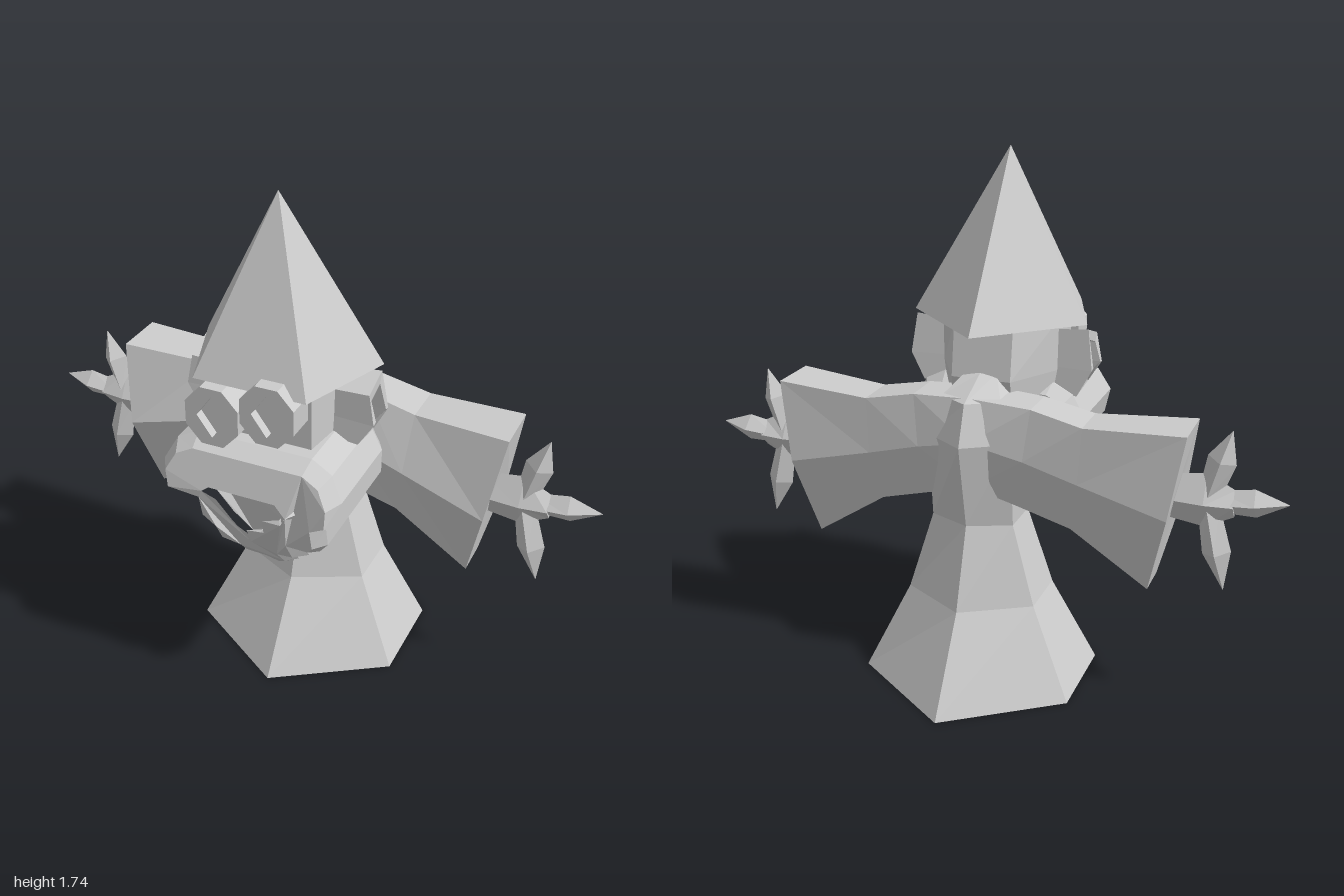
import * as THREE from 'three';

const grey = new THREE.MeshStandardMaterial({ color: 0xcccccc, flatShading: true });
grey.name = 'plain grey';

function add(parent, name, geometry) {
  const mesh = new THREE.Mesh(geometry, grey);
  mesh.name = name;
  parent.add(mesh);
  return mesh;
}

// Skin a list of rings (each a list of [x, y, z]) and close both ends, facing outwards
function loft(rings) {
  const tris = [];
  const n = rings[0].length;
  for (let r = 0; r < rings.length - 1; r++) {
    for (let i = 0; i < n; i++) {
      const j = (i + 1) % n;
      const [a, b, c, d] = [rings[r][i], rings[r][j], rings[r + 1][j], rings[r + 1][i]];
      tris.push([a, b, c], [a, c, d]);
    }
  }
  const last = rings[rings.length - 1];
  for (let i = 1; i < n - 1; i++) {
    tris.push([rings[0][0], rings[0][i + 1], rings[0][i]], [last[0], last[i], last[i + 1]]);
  }
  let volume = 0;
  for (const [a, b, c] of tris) {
    volume += new THREE.Vector3(...a).dot(new THREE.Vector3(...b).cross(new THREE.Vector3(...c)));
  }
  if (volume < 0) tris.forEach((t) => t.reverse());
  const geometry = new THREE.BufferGeometry();
  geometry.setAttribute('position', new THREE.Float32BufferAttribute(tris.flat(2), 3));
  geometry.computeVertexNormals();
  return geometry;
}

const toPoints = (list) => list.map(([x, y]) => new THREE.Vector2(x, y));

// Six-sided robe ring with a ridge at front and back
function robeRing(y, w, front, sideFront, sideBack, back) {
  return [[0, front], [w, sideFront], [w, sideBack], [0, back], [-w, sideBack], [-w, sideFront]]
    .map(([x, z]) => [x + 0.01, y, z]);
}

// Sleeve ring: top, middle and bottom, each with a front and a back corner
function sleeveRing(side, shift, xs, ys, fronts, backs) {
  const corner = (i, z) => [side * xs[i], ys[i], z[i] + shift * xs[i]];
  return [corner(0, fronts), corner(1, fronts), corner(2, fronts),
    corner(2, backs), corner(1, backs), corner(0, backs)];
}

// Pointed finger with a diamond section
function finger(from, to, z) {
  const [dx, dy] = [to[0] - from[0], to[1] - from[1]];
  const len = Math.hypot(dx, dy);
  const [px, py] = [-dy / len, dx / len];
  const ring = (t, w, d) => {
    const [x, y] = [from[0] + dx * t, from[1] + dy * t];
    return [[x + px * w, y + py * w, z], [x, y, z + d],
      [x - px * w, y - py * w, z], [x, y, z - d]];
  };
  return loft([ring(0, 0.035, 0.035), ring(0.55, 0.046, 0.04), ring(1, 0.001, 0.001)]);
}

function buildArm(side, shift) {
  const arm = new THREE.Group();
  arm.name = side > 0 ? 'leftArm' : 'rightArm';
  add(arm, 'sleeve', loft([
    sleeveRing(side, shift, [0, 0, 0], [1.0, 0.86, 0.7], [-0.04, 0.02, 0], [-0.19, -0.22, -0.19]),
    sleeveRing(side, shift, [0.2, 0.18, 0.15], [0.99, 0.82, 0.65], [-0.04, 0.02, 0], [-0.18, -0.2, -0.16]),
    sleeveRing(side, shift, [0.37, 0.36, 0.33], [0.955, 0.77, 0.6], [-0.03, 0.04, 0], [-0.18, -0.19, -0.15]),
    sleeveRing(side, shift, [0.695, 0.65, 0.585], [0.97, 0.7, 0.43], [0.02, 0.085, 0], [-0.16, -0.19, -0.125]),
  ]));
  const z = -0.04 + shift * 0.75;
  const palmRing = (x, h, d) => [[side * x, 0.73 + h, z], [side * x, 0.73, z + d],
    [side * x, 0.73 - h, z], [side * x, 0.73, z - d]];
  add(arm, 'palm', loft([palmRing(0.6, 0.07, 0.04), palmRing(0.74, 0.09, 0.05), palmRing(0.83, 0.045, 0.04)]));
  const fingers = [[0.75, 0.75, 0.81, 0.965], [0.77, 0.73, 0.995, 0.75], [0.75, 0.71, 0.81, 0.435]];
  for (const [x, y, tx, ty] of fingers) {
    add(arm, 'finger', finger([side * x, y], [side * tx, ty], z));
  }
  return arm;
}

function buildEar(side) {
  // Rim corners as [reach from the middle, y, z]
  const rim = [[0.3, 1.14, 0.21], [0.3, 1.175, 0.11], [0.318, 1.04, 0.095],
    [0.27, 0.95, 0.09], [0.27, 0.965, 0.22], [0.318, 1.04, 0.215]];
  const ring = (scale, offset) => rim.map(([x, y, z]) =>
    [side * (x + offset) + 0.008, 1.055 + (y - 1.055) * scale, 0.155 + (z - 0.155) * scale]);
  return loft([ring(0.9, -0.13), ring(1, 0), ring(0.68, 0), ring(0.64, -0.05)]);
}

function buildEye(x, y) {
  const eye = new THREE.Group();
  eye.name = 'eye';
  const octagon = [];
  for (let i = 0; i < 8; i++) {
    const a = (i + 0.5) * Math.PI / 4;
    octagon.push([0.095 * Math.cos(a), 0.105 * Math.sin(a)]);
  }
  const disc = new THREE.Shape(toPoints(octagon));
  disc.holes.push(new THREE.Path(toPoints([[0.05, 0], [0, -0.07], [-0.05, 0], [0, 0.07]])));
  add(eye, 'eyeDisc', new THREE.ExtrudeGeometry(disc, { depth: 0.1, bevelEnabled: false }));
  const pupil = new THREE.Shape(toPoints([[0.052, 0], [0, 0.072], [-0.052, 0], [0, -0.072]]));
  add(eye, 'pupil', new THREE.ExtrudeGeometry(pupil, { depth: 0.07, bevelEnabled: false }));
  eye.position.set(x, y, 0.345);
  return eye;
}

// Zigzag beard pushed back towards its lower tip, with a sunken mouth
function buildBeard() {
  const beard = new THREE.Group();
  beard.name = 'beard';
  const outline = [[-0.18, 0.99], [0.2, 0.99], [0.27, 0.955], [0.31, 0.88], [0.31, 0.8], [0.26, 0.77],
    [0.26, 0.7], [0.23, 0.66], [0.17, 0.66], [0.17, 0.59], [0.11, 0.575], [0.11, 0.52], [0.05, 0.46],
    [0, 0.51], [-0.08, 0.52], [-0.08, 0.575], [-0.13, 0.61], [-0.13, 0.68], [-0.17, 0.72],
    [-0.17, 0.785], [-0.27, 0.795], [-0.29, 0.88], [-0.25, 0.955]];
  const mouth = [[-0.17, 0.83], [-0.12, 0.885], [0.13, 0.885], [0.19, 0.82], [0.15, 0.75], [0.1, 0.75],
    [0.1, 0.7], [0.04, 0.69], [0.04, 0.63], [-0.01, 0.66], [-0.06, 0.73], [-0.1, 0.8]];
  const frontAt = (y) => (y > 0.83 ? 0.48 - (y - 0.83) * 0.3
    : y > 0.66 ? 0.48 - (0.83 - y) * 0.25 : 0.4375 - (0.66 - y) * 0.85);
  const shape = new THREE.Shape(toPoints(outline));
  shape.holes.push(new THREE.Path(toPoints(mouth)));
  const extrude = (s, bevel) => {
    const geometry = new THREE.ExtrudeGeometry(s, {
      depth: 0.4 - bevel * 2, bevelEnabled: bevel > 0, bevelThickness: bevel,
      bevelSize: 0.03, bevelOffset: -0.03, bevelSegments: 1,
    });
    // Stretch from the back plane to the sloping front
    const p = geometry.attributes.position;
    for (let i = 0; i < p.count; i++) {
      const t = (p.getZ(i) + bevel) / 0.4;
      p.setZ(i, 0.04 + t * (frontAt(p.getY(i)) - 0.04));
    }
    geometry.computeVertexNormals();
    return geometry;
  };
  add(beard, 'beardBlock', extrude(shape, 0.05));
  const floor = add(beard, 'mouthFloor', extrude(new THREE.Shape(toPoints(mouth).map((v) =>
    new THREE.Vector2(0.01 + (v.x - 0.01) * 1.1, 0.78 + (v.y - 0.78) * 1.1))), 0));
  floor.position.z = -0.065;
  return beard;
}

export function createModel() {
  const model = new THREE.Group();
  model.name = 'wizard';

  // Flared robe rising to hunched shoulders
  add(model, 'robe', loft([
    robeRing(0, 0.36, 0.33, 0.1, -0.23, -0.49),
    robeRing(0.3, 0.22, 0.135, 0.03, -0.17, -0.3),
    robeRing(0.57, 0.14, 0.05, 0, -0.15, -0.21),
    robeRing(0.86, 0.14, 0.06, 0, -0.18, -0.27),
    robeRing(0.99, 0.1, 0.06, 0, -0.16, -0.22),
    robeRing(1.05, 0.05, 0.04, 0, -0.06, -0.08),
  ]));
  model.add(buildArm(1, 0), buildArm(-1, -0.07));

  // Head
  const headRing = (y, s, back) => [[0.17, 0.34], [0.2 * s, 0.1], [0.1, back], [-0.1, back], [-0.2 * s, 0.1], [-0.17, 0.34]]
    .map(([x, z]) => [x + 0.008, y, z]);
  add(model, 'head', loft([headRing(0.85, 0.9, -0.04), headRing(1.03, 1, -0.08), headRing(1.2, 1, -0.055)]));
  add(model, 'leftEar', buildEar(1));
  add(model, 'rightEar', buildEar(-1));
  model.add(buildEye(-0.1, 1.09), buildEye(0.082, 1.137));
  model.add(buildBeard());

  // Five-sided pointed hat
  const brim = [[0, -0.18], [0.3, 0.1], [0.185, 0.415], [-0.185, 0.415], [-0.3, 0.1]];
  add(model, 'hat', loft([
    brim.map(([x, z]) => [x + 0.01, 1.193, z]),
    brim.map(([x, z]) => [x * 0.002 + 0.01, 1.735, 0.2 + z * 0.002]),
  ]));
  return model;
}
